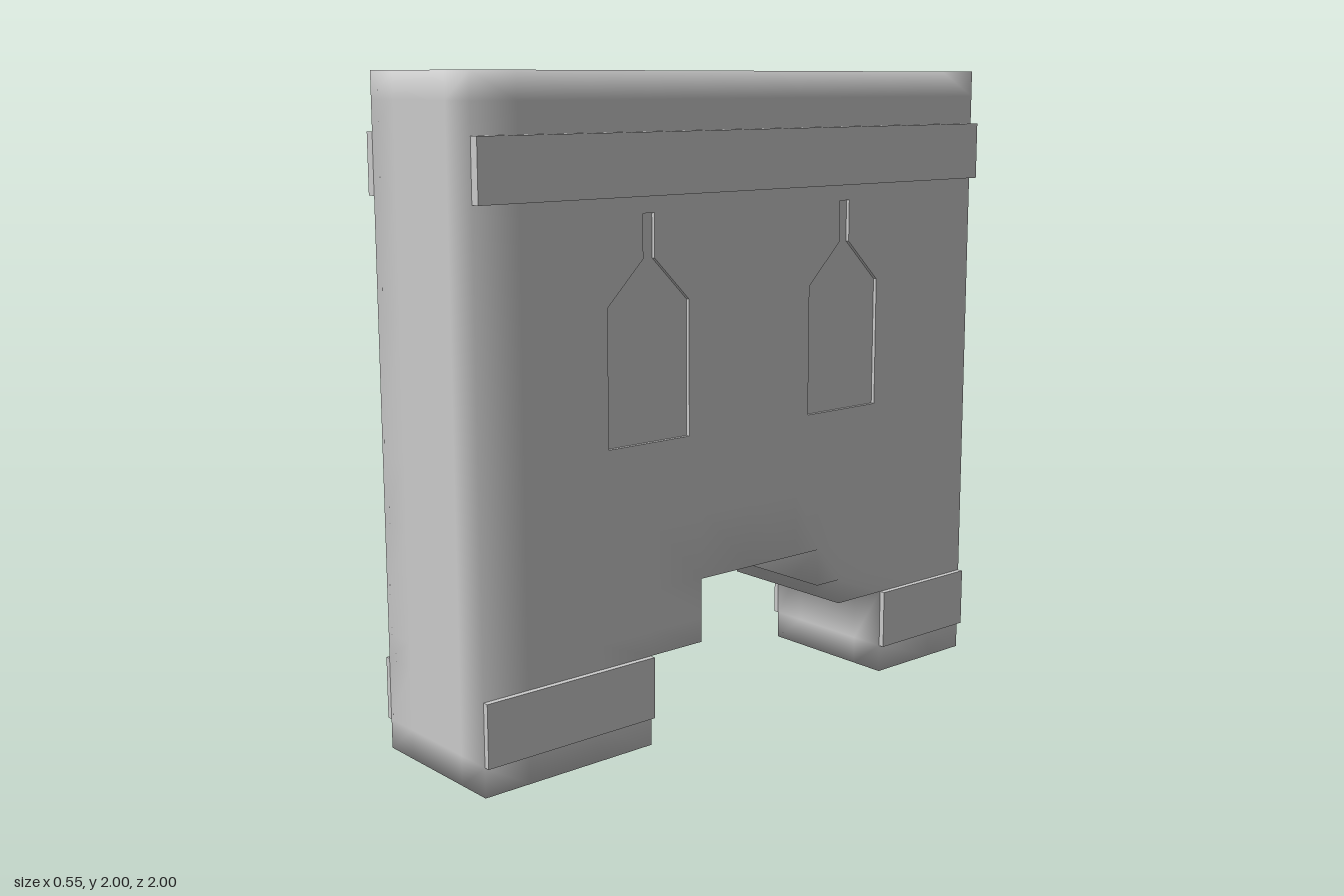
import * as THREE from 'three';
import { mergeVertices } from 'three/addons/utils/BufferGeometryUtils.js';

const HALF = 0.247;   // half thickness of the wall
const RECESS = 0.012; // depth of the window niches
const PANEL = { z: 0.4, w: 0.4, y0: 0.9, y1: 1.65 };

// Grid lines of the wall; cells near the edges carry the soft shading
const GRID = [
  [-HALF, -0.13, 0.13, HALF],
  [0, 0.09, 0.28, 0.36, 0.48, 0.7, PANEL.y0, 1.3, PANEL.y1, 1.83, 1.92, 2],
  [-1, -0.85, -0.6, -0.4, -0.3, -0.2, 0, 0.2, 0.4, 0.6, 0.85, 1],
];

// Height of the stepped gateway above the ground at a given z
function gateHeight(z) {
  if (z > 0.4 || z < -0.6) return 0;
  if (z > 0.2 || z < -0.4) return 0.28;
  return z < -0.3 ? 0.36 : 0.48;
}

// Outer faces of all solid cells, welded so the normals blend over the edges
function wallGeometry() {
  const pos = [];
  const size = GRID.map((g) => g.length - 1);
  const mid = (a, i) => (GRID[a][i] + GRID[a][i + 1]) / 2;
  const solid = (c) => c.every((i, a) => i >= 0 && i < size[a]) && mid(1, c[1]) > gateHeight(mid(2, c[2]));
  const inPanel = (c) => {
    const y = mid(1, c[1]);
    return Math.abs(Math.abs(mid(2, c[2])) - PANEL.z) < PANEL.w / 2 && y > PANEL.y0 && y < PANEL.y1;
  };
  const addFace = (c, a, d) => {
    const corners = [[0, 0], [1, 0], [1, 1], [0, 1]].map(([u, v]) => {
      const k = c.slice();
      k[a] += d;
      k[(a + 1) % 3] += u;
      k[(a + 2) % 3] += v;
      return k.map((i, axis) => GRID[axis][i]);
    });
    const order = d ? [0, 1, 2, 0, 2, 3] : [0, 2, 1, 0, 3, 2];
    order.forEach((i) => pos.push(...corners[i]));
  };
  for (let x = 0; x < size[0]; x++)
    for (let y = 0; y < size[1]; y++)
      for (let z = 0; z < size[2]; z++) {
        const c = [x, y, z];
        if (!solid(c)) continue;
        for (let a = 0; a < 3; a++)
          for (const d of [0, 1]) {
            const next = c.slice();
            next[a] += d ? 1 : -1;
            // Leave openings where the window panels sit
            if (!solid(next) && !(a === 0 && inPanel(c))) addFace(c, a, d);
          }
      }
  let geo = new THREE.BufferGeometry();
  geo.setAttribute('position', new THREE.Float32BufferAttribute(pos, 3));
  geo = mergeVertices(geo);
  geo.computeVertexNormals();
  return geo;
}

// Flat panel with a bottle-shaped opening
function panelGeometry() {
  const h = PANEL.w / 2;
  const shape = new THREE.Shape([[-h, PANEL.y0], [h, PANEL.y0], [h, PANEL.y1], [-h, PANEL.y1]]
    .map((p) => new THREE.Vector2(...p)));
  const right = [[0.152, 0.93], [0.152, 1.34], [0.021, 1.47], [0.021, 1.6]];
  const left = right.map(([x, y]) => [-x, y]).reverse();
  shape.holes.push(new THREE.Path([...right, ...left].map((p) => new THREE.Vector2(...p))));
  return new THREE.ExtrudeGeometry(shape, { depth: RECESS, bevelEnabled: false });
}

export function createModel() {
  const group = new THREE.Group();
  const material = new THREE.MeshStandardMaterial({ color: 0xcccccc });
  const add = (parent, name, geo) => {
    const mesh = new THREE.Mesh(geo, material);
    mesh.name = name;
    parent.add(mesh);
    return mesh;
  };

  add(group, 'wall', wallGeometry());

  // Recessed windows, two on each side
  const panel = panelGeometry();
  const back = new THREE.PlaneGeometry(PANEL.w, PANEL.y1 - PANEL.y0);
  for (const side of [1, -1])
    for (const end of [1, -1]) {
      const niche = new THREE.Group();
      niche.name = 'windowNiche';
      add(niche, 'windowPanel', panel);
      add(niche, 'windowBack', back).position.set(0, (PANEL.y0 + PANEL.y1) / 2, 0);
      niche.rotation.y = side * Math.PI / 2;
      niche.position.set(side * (HALF - RECESS), 0, end * PANEL.z);
      group.add(niche);
    }

  // Raised bands: name, y range, z range, outer x
  const bands = [
    ['topBand', 1.65, 1.83, -1, 1, 0.276],
    ['frontFootBand', 0.09, 0.28, 0.4, 1, 0.265],
    ['backFootBand', 0.09, 0.28, -1, -0.6, 0.265],
  ];
  for (const [name, y0, y1, z0, z1, out] of bands)
    for (const side of [1, -1]) {
      const band = add(group, name, new THREE.BoxGeometry(out - HALF, y1 - y0, z1 - z0));
      band.position.set(side * (out + HALF) / 2, (y0 + y1) / 2, (z0 + z1) / 2);
    }

  return group;
}
